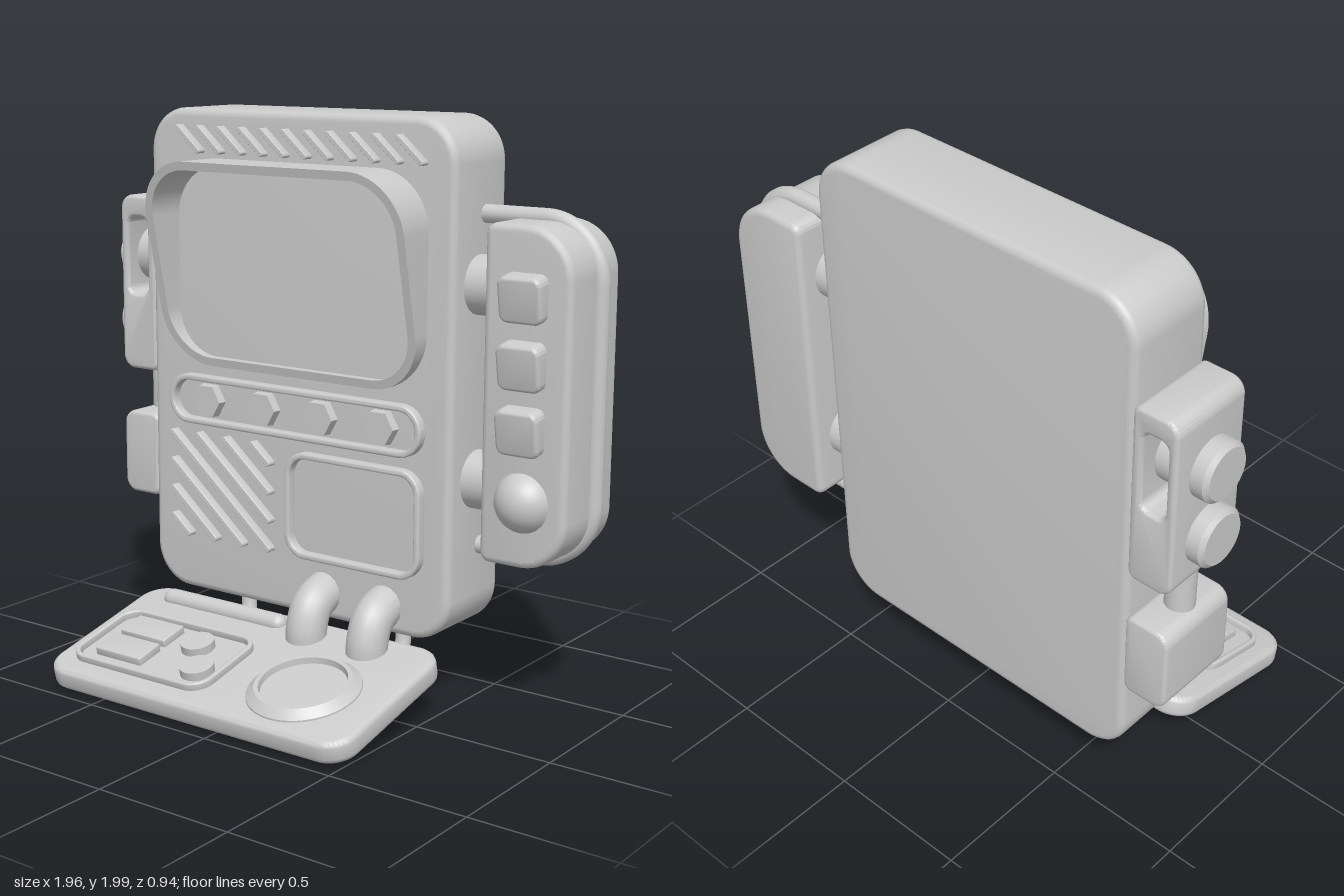
import * as THREE from 'three';
import { toCreasedNormals } from 'three/addons/utils/BufferGeometryUtils.js';

const grey = new THREE.MeshStandardMaterial({ color: 0xcccccc });
const FACE = -0.15, BACK = -0.47, MID = -0.31;

function add(parent, name, geo, x = 0, y = 0, z = 0) {
  const m = new THREE.Mesh(geo, grey);
  m.name = name;
  m.position.set(x, y, z);
  parent.add(m);
  return m;
}

// Rounded rectangle; left and right corner radii may differ
function outline(x0, x1, y0, y1, rl, rr = rl, Type = THREE.Shape) {
  const s = new Type();
  s.moveTo(x0 + rl, y0);
  s.lineTo(x1 - rr, y0);
  s.absarc(x1 - rr, y0 + rr, rr, -Math.PI / 2, 0);
  s.absarc(x1 - rr, y1 - rr, rr, 0, Math.PI / 2);
  s.absarc(x0 + rl, y1 - rl, rl, Math.PI / 2, Math.PI);
  s.absarc(x0 + rl, y0 + rl, rl, Math.PI, Math.PI * 1.5);
  return s;
}

// Bevelled extrusion filling z0..z1
function extrude(shape, z0, z1, b) {
  const g = new THREE.ExtrudeGeometry(shape, {
    depth: z1 - z0 - 2 * b, bevelEnabled: b > 0, bevelThickness: b, bevelSize: b,
    bevelOffset: -b, bevelSegments: 3, curveSegments: 10,
  });
  return toCreasedNormals(g.translate(0, 0, z0 + b), 0.6);
}

// Raised rim following a rounded rectangle
function rim(x0, x1, y0, y1, r, wall, z0, z1, b = 0.006) {
  const s = outline(x0, x1, y0, y1, r);
  s.holes.push(outline(x0 + wall, x1 - wall, y0 + wall, y1 - wall, r - wall, r - wall, THREE.Path));
  return extrude(s, z0, z1, b);
}

// Round-ended bar between two points on the front
function slat(parent, name, xa, ya, xb, yb, w, z1) {
  const len = Math.hypot(xb - xa, yb - ya) + w;
  const g = extrude(outline(-len / 2, len / 2, -w / 2, w / 2, w * 0.49), FACE - 0.02, z1, 0.003);
  add(parent, name, g, (xa + xb) / 2, (ya + yb) / 2, 0).rotation.z = Math.atan2(yb - ya, xb - xa);
}

// Cylinder along x with softened ends
function knob(parent, name, x0, x1, y, r) {
  const h = x1 - x0, e = 0.015;
  const pts = [[0, 0], [r - e, 0], [r, e], [r, h - e], [r - e, h], [0, h]].map(p => new THREE.Vector2(...p));
  const g = toCreasedNormals(new THREE.LatheGeometry(pts, 32), 0.6);
  add(parent, name, g, x1, y, MID).rotation.z = Math.PI / 2;
}

const tube = (pts, r) => new THREE.TubeGeometry(
  new THREE.CatmullRomCurve3(pts.map(p => new THREE.Vector3(...p))), 40, r, 16);

function buildBody(root) {
  const body = new THREE.Group();
  body.name = 'console';
  root.add(body);
  add(body, 'case', extrude(outline(-0.76, 0.52, 0.25, 2, 0.15), BACK, FACE, 0.025));

  // Screen hood, its front edge sloping back towards the bottom
  const s = outline(-0.66, 0.42, 1.1, 1.83, 0.2);
  s.holes.push(outline(-0.63, 0.39, 1.13, 1.80, 0.17, 0.17, THREE.Path));
  const hood = new THREE.ExtrudeGeometry(s, { depth: 1, bevelEnabled: false, curveSegments: 14 });
  const p = hood.attributes.position;
  for (let i = 0; i < p.count; i++)
    p.setZ(i, p.getZ(i) > 0.5 ? 0.035 - (1.83 - p.getY(i)) * 0.215 : FACE - 0.02);
  hood.computeVertexNormals();
  add(body, 'screenHood', toCreasedNormals(hood, 0.6));

  // Hexagonal keys in a pill-shaped rim
  add(body, 'keyRim', rim(-0.66, 0.42, 0.88, 1.06, 0.089, 0.022, FACE - 0.02, -0.115));
  for (const x of [-0.49, -0.245, 0, 0.25]) {
    const hex = new THREE.CylinderGeometry(0.062, 0.067, 0.045, 6).toNonIndexed();
    hex.computeVertexNormals();
    hex.rotateY(Math.PI / 6).rotateX(Math.PI / 2);
    add(body, 'hexKey', hex, x, 0.97, -0.14);
  }

  add(body, 'smallScreenRim', rim(-0.14, 0.42, 0.46, 0.84, 0.085, 0.022, FACE - 0.02, -0.115));

  // Diagonal slats above the screen and the grille at lower left
  for (let i = 0; i < 11; i++) {
    const x = -0.61 + i * 0.0925;
    slat(body, 'topSlat', x, 1.935, x + 0.092, 1.855, 0.017, -0.115);
  }
  const X0 = -0.65, X1 = -0.215, Y0 = 0.465, Y1 = 0.84, k = 0.85;
  for (let i = 0; i < 7; i++) {
    const c = 0.525 + i * 0.104; // height of the line where it meets X0
    const xa = Math.max(X0, X0 + (c - Y1) / k), xb = Math.min(X1, X0 + (c - Y0) / k);
    slat(body, 'grilleSlat', xa, c - (xa - X0) * k, xb, c - (xb - X0) * k, 0.02, -0.115);
  }
}

function buildPod(root) {
  const pod = new THREE.Group();
  pod.name = 'sidePod';
  root.add(pod);
  add(pod, 'podCase', extrude(outline(0.63, 0.945, 0.57, 1.68, 0.035, 0.17), BACK, FACE, 0.022));
  for (const y of [1.455, 0.8]) knob(pod, 'connector', 0.48, 0.66, y, 0.1);

  // Handle running around the pod
  const path = new THREE.CurvePath(), z = -0.34, r = 0.2, t = 1.685, b = 0.565, x = 0.945;
  const v = (a, c) => new THREE.Vector3(a, c, z);
  const q = 0.45 * r;
  path.add(new THREE.LineCurve3(v(0.49, t), v(x - r, t)));
  path.add(new THREE.CubicBezierCurve3(v(x - r, t), v(x - q, t), v(x, t - q), v(x, t - r)));
  path.add(new THREE.LineCurve3(v(x, t - r), v(x, b + r)));
  path.add(new THREE.CubicBezierCurve3(v(x, b + r), v(x, b + q), v(x - q, b), v(x - r, b)));
  path.add(new THREE.LineCurve3(v(x - r, b), v(0.49, b)));
  add(pod, 'handle', new THREE.TubeGeometry(path, 120, 0.031, 14));

  // Square buttons tilted slightly, and a domed one
  for (const y of [1.455, 1.24, 1.03]) {
    const g = extrude(outline(-0.078, 0.078, -0.076, 0.076, 0.03), -0.05, 0.05, 0.012);
    add(pod, 'button', g, 0.785, y, -0.15).rotation.x = 0.16;
  }
  add(pod, 'domeButton', new THREE.SphereGeometry(0.105, 32, 20), 0.785, 0.79, -0.185);
}

function buildLeftModule(root) {
  const mod = new THREE.Group();
  mod.name = 'knobModule';
  root.add(mod);
  const s = outline(-0.92, -0.755, 1.04, 1.68, 0.05, 0.03);
  s.holes.push(outline(-0.885, -0.795, 1.32, 1.6, 0.03, 0.03, THREE.Path));
  add(mod, 'knobBlock', extrude(s, BACK, FACE - 0.01, 0.014));
  add(mod, 'lowerBlock', extrude(outline(-0.92, -0.755, 0.57, 0.88, 0.05, 0.03), BACK, FACE - 0.01, 0.014));
  add(mod, 'rod', new THREE.CylinderGeometry(0.05, 0.05, 0.24, 24), -0.84, 0.96, MID);
  knob(mod, 'upperKnob', -0.98, -0.76, 1.455, 0.1);
  knob(mod, 'lowerKnob', -0.98, -0.88, 1.21, 0.1);
}

function buildTray(root) {
  // Local xy is the plan of the tray, local z its thickness
  const tray = new THREE.Group();
  tray.name = 'tray';
  tray.position.set(0, 0.125, 0.155);
  tray.rotation.x = -Math.PI / 2 + 0.227;
  root.add(tray);
  const py = z => (0.163 - z) / 0.974;
  add(tray, 'trayPlate', extrude(outline(-0.76, 0.52, -0.32, 0.32, 0.1), -0.04, 0.04, 0.02));
  add(tray, 'panelRim', rim(-0.7, -0.1, py(0.4), py(0.06), 0.075, 0.018, 0.03, 0.066));
  for (const z of [0.155, 0.285])
    add(tray, 'panelKey', extrude(outline(-0.62, -0.415, py(z) - 0.056, py(z) + 0.056, 0.006), 0.03, 0.068, 0.004));
  for (const [x, z] of [[-0.3, 0.165], [-0.2, 0.29]])
    add(tray, 'panelButton', new THREE.CylinderGeometry(0.06, 0.06, 0.04, 32).rotateX(Math.PI / 2), x, py(z), 0.05);

  // Conical dial ring with a sunken disc
  const pts = [[0.197, 0.03], [0.195, 0.046], [0.165, 0.072], [0.15, 0.072], [0.147, 0.05], [0, 0.05]];
  const dial = new THREE.LatheGeometry(pts.map(a => new THREE.Vector2(...a)), 48);
  add(tray, 'dialRing', toCreasedNormals(dial, 0.5).rotateX(Math.PI / 2), 0.21, py(0.235), 0);

  // Rounded bar along the back edge
  add(tray, 'backBar', new THREE.CapsuleGeometry(0.035, 0.48, 8, 16).rotateZ(Math.PI / 2), -0.38, py(-0.08), 0.04);
}

function buildPipes(root) {
  // Thick elbows from the case down into the tray
  for (const x of [0.005, 0.26])
    add(root, 'elbowPipe', tube([[x, 0.345, -0.22], [x, 0.345, -0.16], [x, 0.312, -0.087],
      [x, 0.24, -0.055], [x, 0.15, -0.055]], 0.073));

  // Loose cables hanging under the case: x at case, x at tray, lowest point
  for (const [xa, xb, low] of [[0.24, 0.3, 0.06], [-0.15, -0.02, 0.042], [-0.45, -0.25, 0.05]]) {
    const x = t => xa + (xb - xa) * t;
    add(root, 'cable', tube([[xa, 0.28, -0.31], [x(0.05), 0.16, -0.3], [x(0.25), low + 0.01, -0.255],
      [x(0.5), low, -0.16], [x(0.8), low + 0.03, -0.05], [xb, 0.14, 0.01]], 0.028));
  }
}

export function createModel() {
  const root = new THREE.Group();
  root.name = 'controlStation';
  buildBody(root);
  buildPod(root);
  buildLeftModule(root);
  buildTray(root);
  buildPipes(root);
  return root;
}
